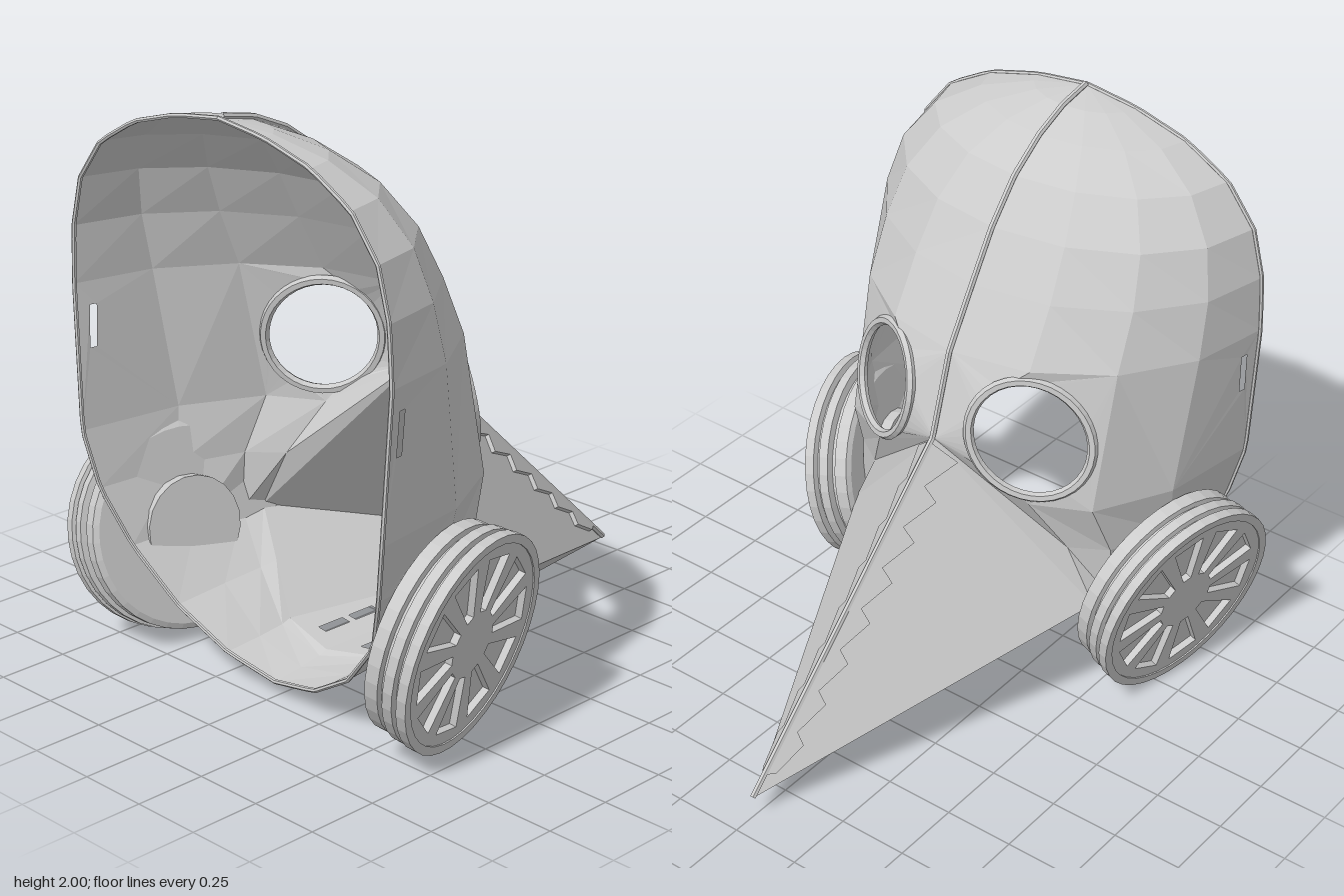
import * as THREE from 'three';

const V = (x, y, z) => new THREE.Vector3(x, y, z);
const grey = new THREE.MeshStandardMaterial({ color: 0xcccccc, flatShading: true });
const thin = new THREE.MeshStandardMaterial({ color: 0xcccccc, flatShading: true, side: THREE.DoubleSide });

// Key points on the +x half of the beak
const BROW = V(0, 1, 0.06), TIP = V(0, 0.08, -0.905), CHEEK = V(0.52, 0.41, 0.28);
const JAW = V(0.22, 0.125, 0.44), CHIN = V(0, 0.095, 0.48);

function add(parent, name, geometry, material = grey) {
  const mesh = new THREE.Mesh(geometry, material);
  mesh.name = name;
  parent.add(mesh);
  return mesh;
}

// Quarter-ellipse row of points from the front point p to the rim point q
function arc(p, q, n) {
  return Array.from({ length: n + 1 }, (_, i) => {
    const a = (i / n) * Math.PI / 2;
    return V(p.x + (q.x - p.x) * Math.sin(a), p.y + (q.y - p.y) * i / n, q.z - (q.z - p.z) * Math.cos(a));
  });
}

// Rows of the +x half: height, half width, front z
const upper = [
  [1.985, 0, 0.89], [1.96, 0.2, 0.76], [1.905, 0.4, 0.63], [1.81, 0.57, 0.495],
  [1.67, 0.68, 0.375], [1.5, 0.725, 0.27], [1.3, 0.735, 0.15],
].map(([y, w, f]) => arc(V(0, y, f), V(w, y, 0.893), 4));
const lower = [
  [V(0.32, 0.81, 0.165), V(0.705, 0.8, 0.908)],
  [V(0.42, 0.62, 0.26), V(0.66, 0.6, 0.88)],
  [CHEEK, V(0.575, 0.4, 0.82)],
  [CHEEK.clone().lerp(JAW, 0.5), V(0.41, 0.22, 0.77)],
  [JAW, V(0.21, 0.1, 0.73)],
  [CHIN, V(0, 0.055, 0.71)],
].map(([p, q]) => arc(p, q, 3));
const eyeLine = [BROW, ...lower[0]];

// Eye opening: a slanted oval on a flat facet of the face
function eyePoints(n, grow = 0) {
  return Array.from({ length: n }, (_, i) => {
    const a = (i / n) * Math.PI * 2;
    const x = 0.306 + (0.164 + grow) * Math.cos(a) - 0.04 * Math.sin(a);
    const y = 1.055 + (0.193 + grow) * Math.sin(a);
    return V(x, y, 0.07 + 0.6 * (x - 0.13) + 0.2 * (y - 1));
  });
}

// Shell of one half: quad grid plus panels with openings
function shellGeometry(side) {
  const pos = [];
  const tri = (...pts) => pts.forEach(p => pos.push(p.x * side, p.y, p.z));
  const quad = (a, b, c, d) => { tri(a, b, c); tri(a, c, d); };
  const panel = (outline, holes, flat) => {
    const all = [outline, ...holes].flat();
    THREE.ShapeUtils.triangulateShape(outline.map(flat), holes.map(h => h.map(flat)))
      .forEach(f => tri(...f.map(i => all[i])));
  };
  const strip = (r, s) => { for (let i = 0; i + 1 < r.length; i++) quad(r[i], s[i], s[i + 1], r[i + 1]); };

  for (let i = 0; i + 1 < upper.length; i++) strip(upper[i], upper[i + 1]);
  for (let i = 0; i + 1 < lower.length; i++) strip(lower[i], lower[i + 1]);

  // Band with the eye opening and the strap slot
  const top = upper[upper.length - 1];
  panel([top[0], top[1], top[2], eyeLine[2], eyeLine[1], eyeLine[0]], [eyePoints(28)],
    p => new THREE.Vector2(p.x, p.y));
  quad(top[2], eyeLine[2], eyeLine[3], top[3]);
  const slot = [[0.82, 1.22], [0.845, 1.22], [0.855, 1.075], [0.83, 1.075]]
    .map(([z, y]) => V(0.672 + (z - 0.59) * 0.172 + (y - 1.15) * 0.05, y, z));
  panel([top[3], top[4], eyeLine[4], eyeLine[3]], [slot], p => new THREE.Vector2(p.z, p.y));

  // Beak side, then its sloping and flat undersides
  tri(BROW, TIP, CHEEK);
  tri(BROW, CHEEK, lower[1][0]);
  tri(BROW, lower[1][0], lower[0][0]);
  tri(TIP, JAW, CHEEK);
  const vents = [0, 1, 2].map(i => {
    const z = 0.01 + i * 0.14;
    return [[0.085, z], [0.12, z], [0.12, z + 0.11], [0.085, z + 0.11]]
      .map(([x, w]) => V(x, 0.08 + (w + 0.905) * 0.0108 + 0.139 * x, w));
  });
  panel([TIP, JAW, CHIN], vents, p => new THREE.Vector2(p.x, p.z));

  const g = new THREE.BufferGeometry();
  g.setAttribute('position', new THREE.Float32BufferAttribute(pos, 3));
  g.computeVertexNormals();
  return g;
}

// Saw-toothed seam strip lying on the beak beside the ridge
function seamGeometry(side) {
  const along = TIP.clone().sub(BROW), length = along.length();
  along.normalize();
  const out = CHEEK.clone().sub(BROW);
  out.addScaledVector(along, -out.dot(along)).normalize();
  out.x *= side;
  const shape = new THREE.Shape().moveTo(0.02, 0);
  const teeth = 8, step = 0.92 * length / teeth;
  for (let i = 0; i < teeth; i++) {
    const w = 0.11 - 0.006 * i;
    shape.lineTo(0.02 + (i + 0.1) * step, w).lineTo(0.02 + (i + 0.9) * step, w * 0.38);
  }
  shape.lineTo(0.02 + teeth * step, 0);
  const g = new THREE.ExtrudeGeometry(shape, { depth: 0.03, bevelEnabled: false }).translate(0, 0, -0.015);
  const basis = new THREE.Matrix4().makeBasis(along, out, along.clone().cross(out)).setPosition(BROW);
  return g.applyMatrix4(basis);
}

// Round filter canister; local +y is its outward axis
function filter(side) {
  const group = new THREE.Group();
  group.name = side > 0 ? 'leftFilter' : 'rightFilter';
  const body = [[0, -0.172], [0.34, -0.172], [0.36, -0.162], [0.36, -0.115], [0.342, -0.11], [0.342, -0.095],
    [0.37, -0.09], [0.37, -0.055], [0.352, -0.05], [0.352, -0.04], [0.375, -0.035], [0.375, 0],
    [0.345, 0], [0.345, -0.03], [0, -0.03]];
  add(group, 'filterBody', new THREE.LatheGeometry(body.map(([r, h]) => new THREE.Vector2(r, h)), 36));

  const plate = new THREE.Shape().absarc(0, 0, 0.346, 0, Math.PI * 2);
  for (let i = 0; i < 10; i++) {
    const a = (i + 0.5) * Math.PI / 5 + Math.PI / 10, c = Math.cos(a), s = Math.sin(a);
    plate.holes.push(new THREE.Path([[0.115, -0.017], [0.3, -0.064], [0.3, 0.064], [0.115, 0.017]]
      .map(([r, w]) => new THREE.Vector2(r * c - w * s, r * s + w * c))));
  }
  add(group, 'filterGrille', new THREE.ExtrudeGeometry(plate, { depth: 0.025, bevelEnabled: false, curveSegments: 18 })
    .rotateX(-Math.PI / 2).translate(0, -0.03, 0));
  add(group, 'filterNeck', new THREE.CylinderGeometry(0.175, 0.175, 0.05, 20).translate(0, -0.19, 0));

  group.position.set(0.735 * side, 0.37, 0.54);
  group.quaternion.setFromUnitVectors(V(0, 1, 0), V(0.96 * side, -0.2, -0.2).normalize());
  return group;
}

// Tube following straight segments through the points
function pipe(points, radius, segments) {
  const path = new THREE.CurvePath();
  for (let i = 0; i + 1 < points.length; i++) path.add(new THREE.LineCurve3(points[i], points[i + 1]));
  return new THREE.TubeGeometry(path, segments, radius, 6);
}

export function createModel() {
  const model = new THREE.Group();
  model.name = 'beakedMask';

  for (const side of [1, -1]) {
    const label = side > 0 ? 'left' : 'right';
    add(model, label + 'Shell', shellGeometry(side), thin);
    add(model, label + 'BeakSeam', seamGeometry(side));
    const loop = eyePoints(28, 0.013).map(p => V(p.x * side, p.y, p.z));
    add(model, label + 'EyeRing',
      new THREE.TubeGeometry(new THREE.CatmullRomCurve3(loop, true), 36, 0.018, 6, true));
    model.add(filter(side));
  }

  // Centre ridge standing on the outside from the crown to the beak tip
  const ridge = [...upper.map(r => r[0]), BROW, TIP].map(p => V(0, p.y + 0.006, p.z - 0.008));
  add(model, 'centreRidge', pipe(ridge, 0.011, 120));

  // Rolled edge around the open back
  const rim = [...upper, ...lower].map(r => r[r.length - 1]);
  for (const side of [1, -1]) {
    add(model, side > 0 ? 'leftRim' : 'rightRim', pipe(rim.map(p => V(p.x * side, p.y, p.z)), 0.008, 50));
  }
  return model;
}
